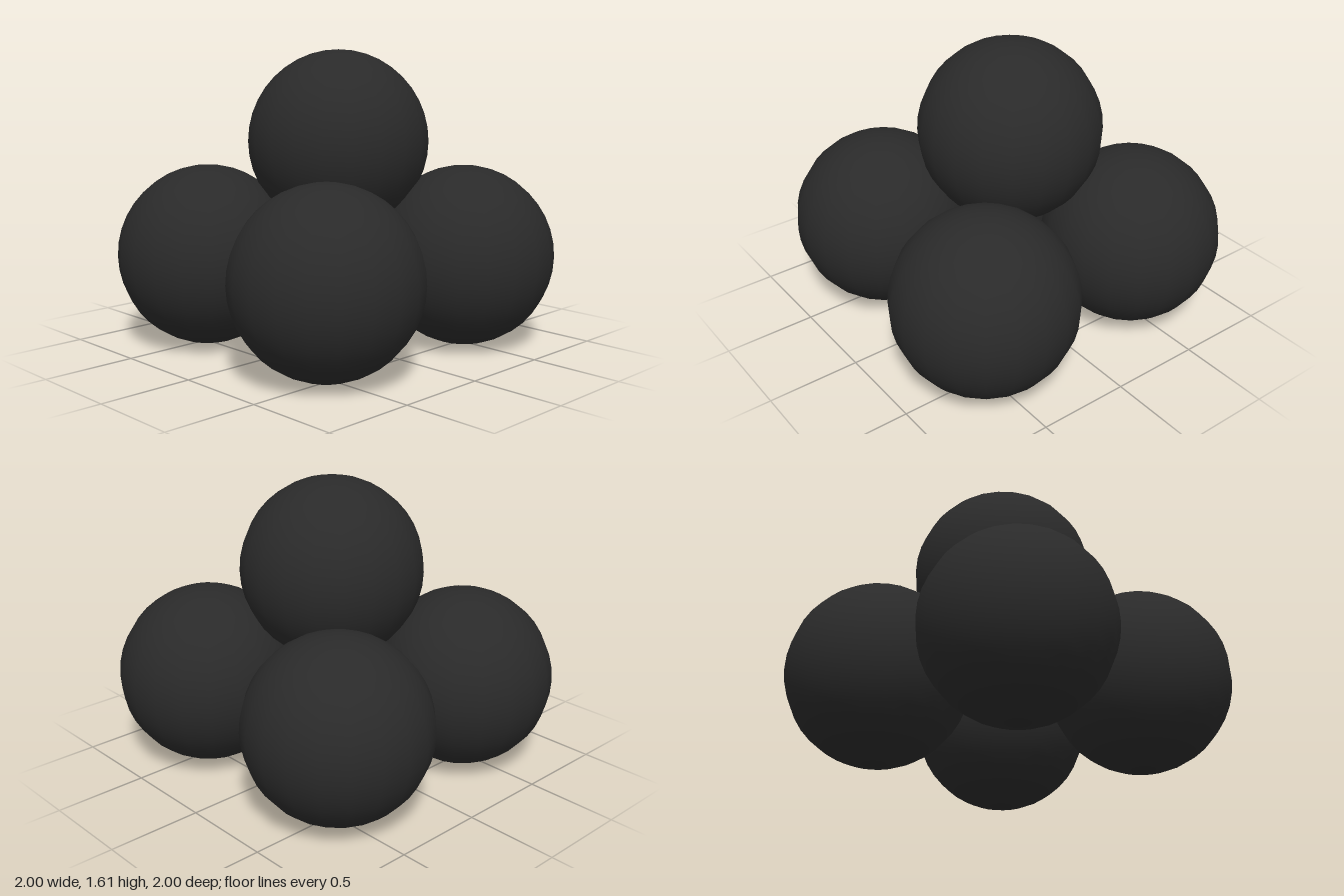
import * as THREE from 'three';

export function createModel() {
  const group = new THREE.Group();
  group.name = 'ballPile';

  const black = new THREE.MeshStandardMaterial({ color: 0x2a2a2a });
  black.name = 'charcoal black';

  // One shared ball: 20 sides around, smooth shaded
  const ball = new THREE.SphereGeometry(0.492, 20, 20);

  // Four balls on the ground, slightly uneven, and one resting on top
  const balls = [
    ['frontLeftBall', 0.506, 0.492, 0.506],
    ['frontRightBall', -0.508, 0.492, 0.474],
    ['backLeftBall', 0.474, 0.492, -0.508],
    ['backRightBall', -0.481, 0.492, -0.491],
    ['topBall', 0.045, 1.117, -0.004],
  ];
  for (const [name, x, y, z] of balls) {
    const mesh = new THREE.Mesh(ball, black);
    mesh.name = name;
    mesh.position.set(x, y, z);
    group.add(mesh);
  }
  return group;
}
